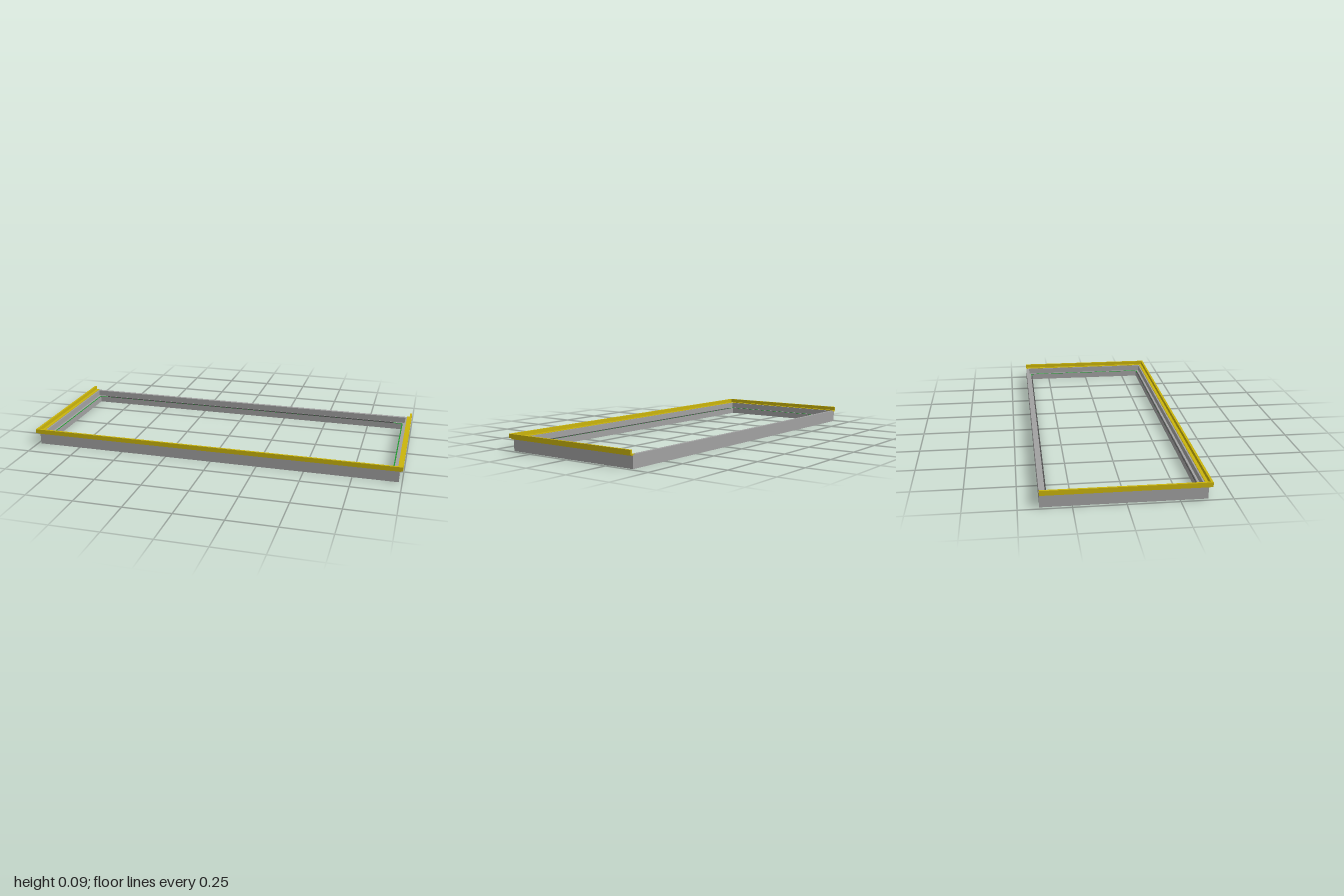
import * as THREE from 'three';

const BACK = -0.4;

// Sweeps a profile of [inset, y] points round a mitred rectangle, or along
// its left, front and right sides only when open at the back.
function mitredSweep(profile, halfX, frontZ, closed) {
  const corner = (i, [d, y]) => [
    i < 2 ? -halfX + d : halfX - d,
    y,
    i === 1 || i === 2 ? frontZ - d : BACK + (closed ? d : 0),
  ];
  const positions = [];
  const triangle = (a, b, c) => positions.push(...a, ...b, ...c);
  for (let i = 0; i < (closed ? 4 : 3); i++) {
    const k = (i + 1) % 4;
    profile.forEach((p, j) => {
      const q = profile[(j + 1) % profile.length];
      triangle(corner(i, p), corner(i, q), corner(k, q));
      triangle(corner(i, p), corner(k, q), corner(k, p));
    });
  }
  if (!closed) {
    const outline = profile.map(([d, y]) => new THREE.Vector2(d, y));
    for (const [a, b, c] of THREE.ShapeUtils.triangulateShape(outline, [])) {
      triangle(corner(0, profile[c]), corner(0, profile[b]), corner(0, profile[a]));
      triangle(corner(3, profile[a]), corner(3, profile[b]), corner(3, profile[c]));
    }
  }
  const geometry = new THREE.BufferGeometry();
  geometry.setAttribute('position', new THREE.Float32BufferAttribute(positions, 3));
  geometry.computeVertexNormals();
  return geometry;
}

export function createModel() {
  const model = new THREE.Group();
  const add = (name, geometry, color) => {
    const mesh = new THREE.Mesh(geometry, new THREE.MeshStandardMaterial({ color }));
    mesh.name = name;
    model.add(mesh);
    return mesh;
  };

  // Grey frame with a ledge stepped into its inner side
  const frameProfile = [
    [0, 0], [0.037, 0], [0.037, 0.034], [0.018, 0.034], [0.018, 0.066], [0, 0.066],
  ];
  add('baseFrame', mitredSweep(frameProfile, 0.983, 0.383, true), 0xa1a1a1);

  // Yellow trim on three sides: upright lip and a lower flange on the frame
  const trimProfile = [
    [0.009, 0.061], [0.027, 0.061], [0.027, 0.069], [0.011, 0.069],
    [0.011, 0.089], [0, 0.089], [0, 0.067], [0.009, 0.067],
  ];
  add('trim', mitredSweep(trimProfile, 1, 0.4, false), 0xcab40c);

  // Thin green band lying along the inner edge of the ledge
  const bandProfile = [[0.031, 0.034], [0.037, 0.034], [0.037, 0.035], [0.031, 0.035]];
  add('ledgeBand', mitredSweep(bandProfile, 0.983, 0.383, true), 0x1c9a2c);

  // Dark strips covering the band on the two long sides
  for (const [name, z] of [['frontStrip', 0.349], ['backStrip', -0.366]]) {
    const strip = add(name, new THREE.BoxGeometry(1.8, 0.004, 0.006), 0x505050);
    strip.position.set(0, 0.036, z);
  }
  return model;
}
